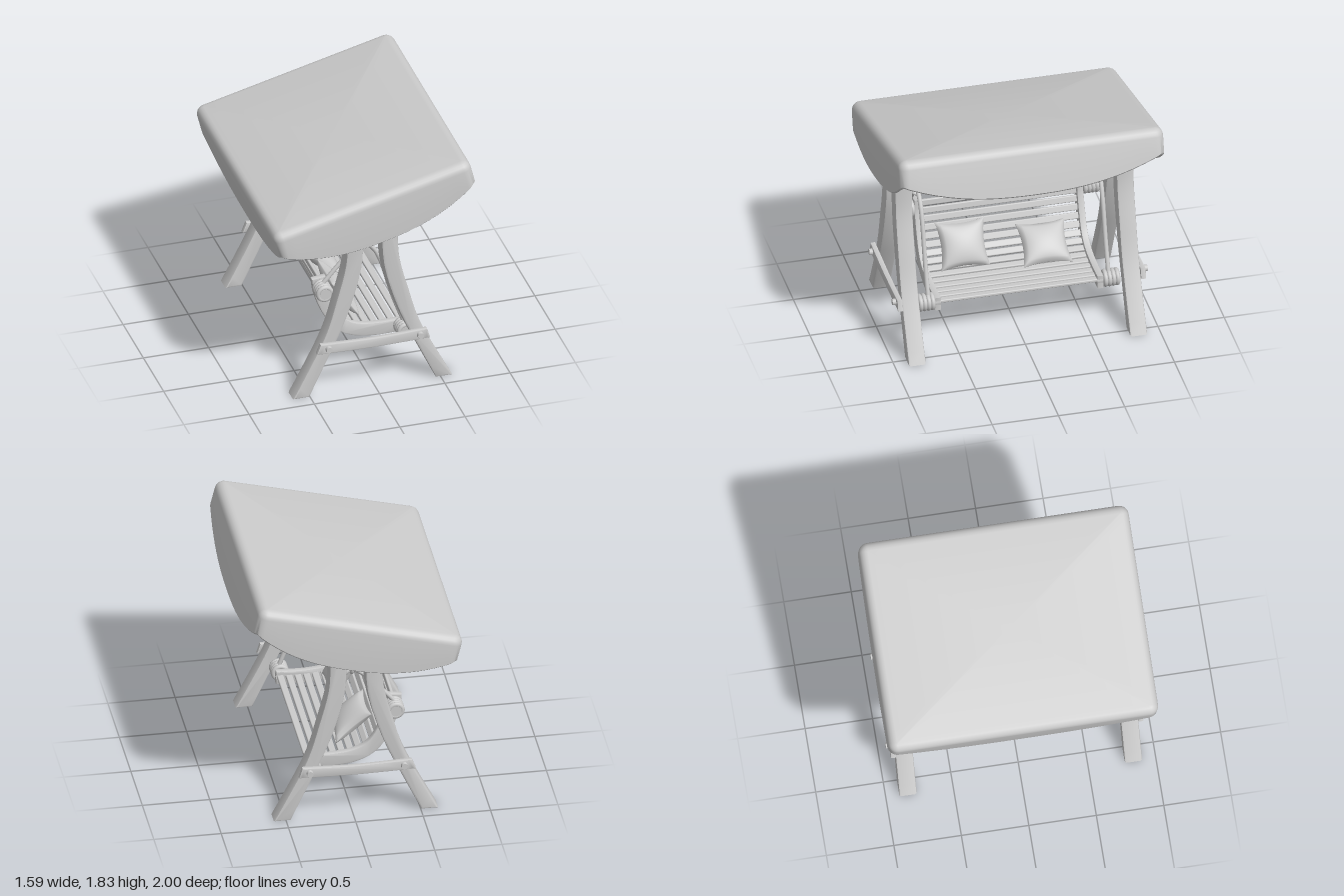
import * as THREE from 'three';
import { toCreasedNormals, mergeVertices } from 'three/addons/utils/BufferGeometryUtils.js';
import { RoundedBoxGeometry } from 'three/addons/geometries/RoundedBoxGeometry.js';

const material = new THREE.MeshStandardMaterial({ color: 0xcccccc });
const MID = -0.02; // x of the swing's middle
const v2 = (p) => p.map(([x, y]) => new THREE.Vector2(x, y));
const v3 = (p) => p.map(([x, y, z]) => new THREE.Vector3(x, y, z));

function add(parent, name, geometry, x = 0, y = 0, z = 0) {
  const mesh = new THREE.Mesh(geometry, material);
  mesh.name = name;
  mesh.position.set(x, y, z);
  parent.add(mesh);
  return mesh;
}

// Bevelled plank between two edge polylines, centred on z = 0
function plank(edgeA, edgeB, depth, bevel = 0.012) {
  const shape = new THREE.Shape([...edgeA, ...edgeB.slice().reverse()]);
  const geo = new THREE.ExtrudeGeometry(shape, {
    depth: depth - 2 * bevel, bevelThickness: bevel, bevelSize: bevel, bevelOffset: -bevel, bevelSegments: 2,
  });
  geo.translate(0, 0, bevel - depth / 2);
  return toCreasedNormals(geo, 0.6);
}
const smooth = (p, n = 20) => new THREE.SplineCurve(v2(p)).getPoints(n);

// Rounded rectangle outline in xz, always with the same number of points
function outline(hx, hz, r) {
  const pts = [];
  const corner = (k, a) => {
    const sx = [1, -1, -1, 1][k % 4], sz = [1, 1, -1, -1][k % 4];
    return new THREE.Vector2(sx * (hx - r) + r * Math.cos(a), sz * (hz - r) + r * Math.sin(a));
  };
  for (let k = 0; k < 4; k++) {
    const a = (k * Math.PI) / 2, b = a + Math.PI / 2;
    for (let i = 0; i <= 6; i++) pts.push(corner(k, a + ((b - a) * i) / 6));
    const from = corner(k, b), to = corner(k + 1, b);
    for (let i = 1; i < 20; i++) pts.push(from.clone().lerp(to, i / 20));
  }
  return pts;
}

// Hollow cloth roof with a hanging edge, deepest at the middle of each side
function canopyGeometry(hx, hz) {
  const drop = (p) => 0.385 - 0.195 * Math.pow(Math.min(1, Math.abs(p.x) / hx, Math.abs(p.y) / hz), 2.4);
  const rings = [];
  const ring = (inset, y) => rings.push(outline(hx - inset, hz - inset, Math.max(0.07 - inset, 0.01))
    .map((p) => [p.x, typeof y === 'number' ? y : y(p), p.y]));
  const point = (y) => rings.push(outline(hx, hz, 0.07).map(() => [0, y, 0]));
  point(0);
  for (let i = 0; i <= 5; i++) {
    const a = (i / 5) * Math.PI / 2;
    ring(0.065 * (1 - Math.sin(a)), -0.065 * (1 - Math.cos(a)));
  }
  ring(0, (p) => 0.01 - drop(p));
  ring(0.012, (p) => -drop(p));
  ring(0.025, (p) => 0.01 - drop(p));
  ring(0.025, -0.075);
  ring(0.075, -0.025);
  point(-0.025);
  const n = rings[0].length, index = [];
  for (let i = 0; i < rings.length - 1; i++) {
    for (let j = 0; j < n; j++) {
      const a = i * n + j, b = i * n + ((j + 1) % n);
      if (i > 0) index.push(a, b, a + n);
      if (i < rings.length - 2) index.push(b, b + n, a + n);
      else index.push(b, b + n, a + n);
    }
  }
  const geo = new THREE.BufferGeometry();
  geo.setAttribute('position', new THREE.Float32BufferAttribute(rings.flat(2), 3));
  geo.setIndex(index);
  return toCreasedNormals(geo, 0.7);
}

// Soft cushion: plump in the middle, thin pinched edges
function pillowGeometry(w, h, t) {
  const geo = new THREE.BoxGeometry(2, 2, 2, 20, 20, 1);
  const p = geo.attributes.position;
  for (let i = 0; i < p.count; i++) {
    const x = p.getX(i), y = p.getY(i), a = 1 - x * x, b = 1 - y * y;
    p.setXYZ(i, (x * w / 2) * (1 - 0.13 * b), (y * h / 2) * (1 - 0.13 * a),
      Math.sign(p.getZ(i)) * (t / 2) * (0.06 + 0.94 * Math.pow(Math.max(0, a * b), 0.45)));
  }
  geo.deleteAttribute('uv');
  geo.deleteAttribute('normal');
  const merged = mergeVertices(geo);
  merged.computeVertexNormals();
  return merged;
}

function buildCanopy() {
  const g = new THREE.Group();
  g.name = 'canopy';
  g.position.set(-0.056, 1.655, 0);
  g.rotation.z = THREE.MathUtils.degToRad(14.2);
  add(g, 'canopyCloth', canopyGeometry(0.78, 1));
  for (const s of [-1, 1]) {
    add(g, 'canopyLongRail', new RoundedBoxGeometry(0.05, 0.08, 1.88, 2, 0.01), s * 0.71, -0.125, 0);
    add(g, 'canopyShortRail', new RoundedBoxGeometry(1.42, 0.08, 0.05, 2, 0.01), 0, -0.125, s * 0.93);
  }
  return g;
}

function buildStand() {
  const g = new THREE.Group();
  g.name = 'stand';
  const outer = [[0.61, 0], [0.425, 0.36], [0.34, 0.56], [0.28, 0.77], [0.215, 1.02], [0.195, 1.22], [0.195, 1.56]];
  const inner = [[0.485, 0], [0.315, 0.36], [0.225, 0.56], [0.15, 0.77], [0.09, 1.0], [0.07, 1.22], [0.07, 1.56]];
  const boltHead = new THREE.CylinderGeometry(0.023, 0.026, 0.03, 16);
  const braceTop = smooth([[-0.43, 0.45], [-0.02, 0.437], [0.385, 0.45]]);
  const braceBottom = smooth([[-0.46, 0.37], [-0.02, 0.362], [0.41, 0.37]]);
  for (const sz of [-1, 1]) {
    for (const sx of [-1, 1]) {
      const flip = (pts) => smooth(pts.map(([x, y]) => [MID + sx * x, y]));
      add(g, sx > 0 ? 'frontLeg' : 'backLeg', plank(flip(outer), flip(inner), 0.13, 0.014), 0, 0, sz * 0.835);
      add(g, 'legBolt', boltHead, MID + sx * 0.203, 1.33, sz * 0.835).rotation.z = -sx * Math.PI / 2;
      add(g, 'braceBolt', boltHead, MID + sx * 0.35, 0.41, sz * 0.947).rotation.x = sz * Math.PI / 2;
    }
    add(g, 'sideBrace', plank(braceTop, braceBottom, 0.04, 0.008), 0, 0, sz * 0.917);
  }
  // Arched beam spanning between the leg pairs
  const top = smooth([[-0.9, 1.36], [-0.6, 1.475], [-0.3, 1.55], [0, 1.575], [0.3, 1.55], [0.6, 1.475], [0.9, 1.36]], 40);
  const low = smooth([[-0.9, 1.25], [-0.6, 1.345], [-0.3, 1.42], [0, 1.45], [0.3, 1.42], [0.6, 1.345], [0.9, 1.25]], 40);
  add(g, 'archedBeam', plank(top, low, 0.14), MID).rotation.y = -Math.PI / 2;
  return g;
}

function buildBench() {
  const g = new THREE.Group();
  g.name = 'bench';
  const curve = new THREE.SplineCurve(v2([[-0.35, 0.84], [-0.335, 0.72], [-0.275, 0.56], [-0.19, 0.425],
    [-0.07, 0.355], [0.1, 0.33], [0.32, 0.335]]));
  const edge = (d) => Array.from({ length: 31 }, (_, i) => {
    const p = curve.getPointAt(i / 30), t = curve.getTangentAt(i / 30);
    return new THREE.Vector2(p.x - t.y * d, p.y + t.x * d);
  });
  const sideFrame = plank(edge(0.05), edge(-0.055), 0.05, 0.01);
  const slat = new RoundedBoxGeometry(0.05, 0.024, 1.2, 2, 0.008);
  const count = 15;
  for (let i = 0; i < count; i++) {
    const u = 0.04 + (0.93 * i) / (count - 1), p = curve.getPointAt(u), t = curve.getTangentAt(u);
    add(g, 'slat', slat, p.x - t.y * 0.01, p.y + t.x * 0.01, 0).rotation.z = Math.atan2(t.y, t.x);
  }
  for (const s of [-1, 1]) add(g, 'sideFrame', sideFrame, 0, 0, s * 0.613);
  // Cushions leaning on the backrest
  for (const [x, y, z, h, lean] of [[-0.11, 0.54, 0.32, 0.36, 0.6], [-0.075, 0.48, -0.285, 0.34, 0.88]]) {
    const pillow = add(g, 'pillow', pillowGeometry(0.37, h, 0.14), x, y, z);
    pillow.rotation.set(0, Math.PI / 2, lean, 'ZYX');
  }
  return g;
}

// Hook, link, ropes and rope windings on one side
function buildHanger(s) {
  const g = new THREE.Group();
  g.name = 'hanger';
  const z = s * 0.68;
  add(g, 'hookRod', new THREE.CylinderGeometry(0.014, 0.014, 0.11, 12), MID, 1.32, z);
  add(g, 'hookEye', new THREE.TorusGeometry(0.042, 0.014, 10, 24), MID, 1.235, z);
  const linkPath = new THREE.CatmullRomCurve3(v3([[0, 0.065, 0.018], [0, 0.065, -0.018], [0, -0.02, -0.048],
    [0, -0.055, -0.03], [0, -0.055, 0.03], [0, -0.02, 0.048]]), true);
  add(g, 'chainLink', new THREE.TubeGeometry(linkPath, 40, 0.014, 10, true), MID, 1.155, z);
  const rope = new THREE.CatmullRomCurve3(v3([[-0.35, 0.8, z], [-0.22, 0.95, z], [-0.11, 1.065, z],
    [MID, 1.108, z], [0.05, 1.05, z], [0.105, 0.94, z], [0.2, 0.62, z], [0.295, 0.36, z]]));
  add(g, 'rope', new THREE.TubeGeometry(rope, 48, 0.017, 10), 0, 0, 0);
  for (const [x, y] of [[-0.34, 0.765], [0.28, 0.34]]) {
    add(g, 'dowel', new THREE.CylinderGeometry(0.042, 0.042, 0.17, 20), x, y, s * 0.675).rotation.x = Math.PI / 2;
    for (let i = 0; i < 4; i++) {
      add(g, 'ropeWinding', new THREE.TorusGeometry(0.05, 0.018, 10, 24), x, y, s * (0.652 + i * 0.03));
    }
  }
  return g;
}

export function createModel() {
  const model = new THREE.Group();
  model.name = 'gardenSwing';
  model.add(buildCanopy(), buildStand(), buildBench(), buildHanger(1), buildHanger(-1));
  return model;
}
